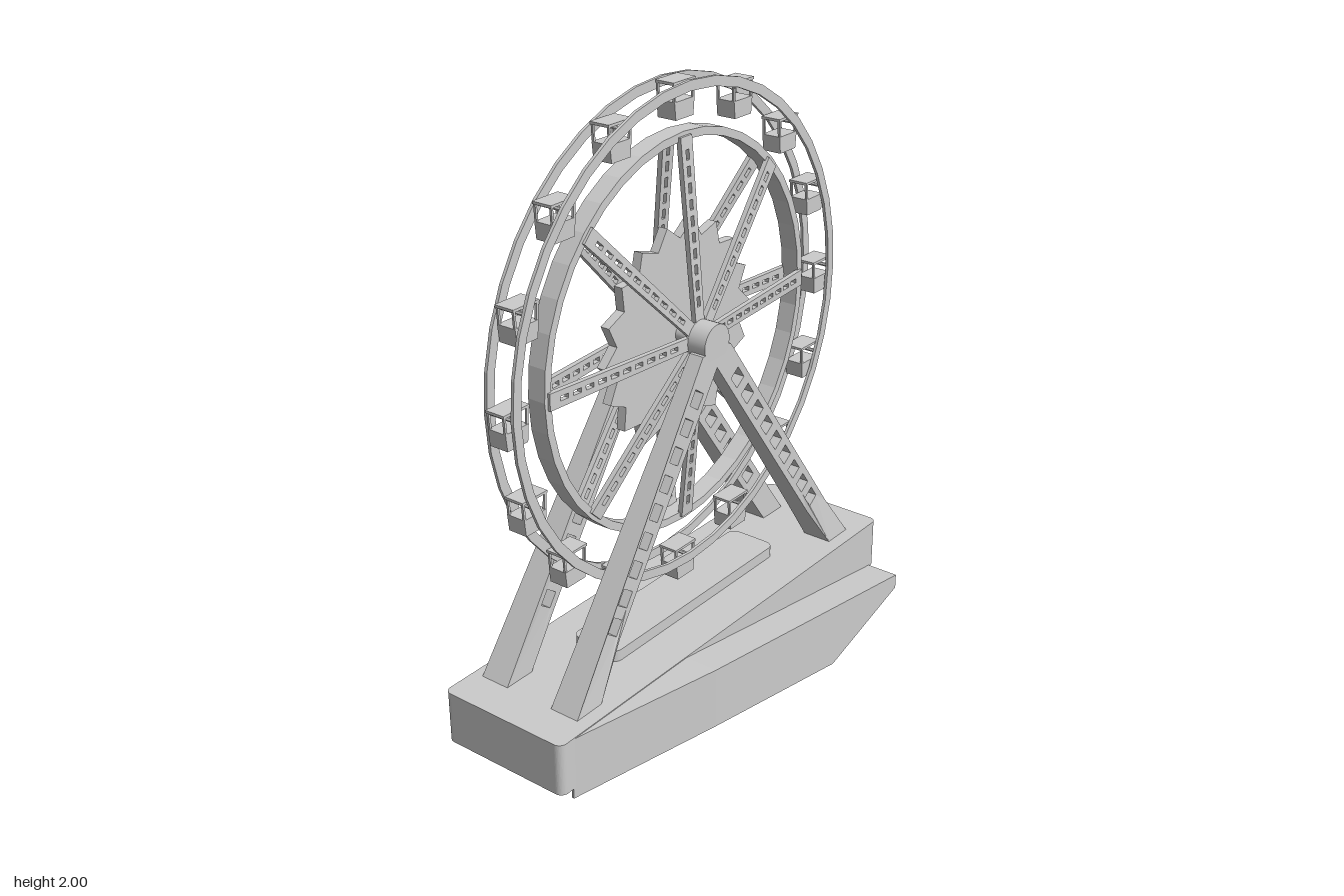
import * as THREE from 'three';

const flat = new THREE.MeshStandardMaterial({ color: 0xcccccc, flatShading: true });
const smooth = new THREE.MeshStandardMaterial({ color: 0xcccccc });
const V = (x, y) => new THREE.Vector2(x, y);

function add(parent, name, geometry, material = flat) {
  const mesh = new THREE.Mesh(geometry, material);
  mesh.name = name;
  parent.add(mesh);
  return mesh;
}

// Moves every vertex by a rule
function bend(geometry, rule) {
  const p = geometry.attributes.position;
  const v = new THREE.Vector3();
  for (let i = 0; i < p.count; i++) {
    rule(v.fromBufferAttribute(p, i));
    p.setXYZ(i, v.x, v.y, v.z);
  }
  geometry.computeVertexNormals();
  return geometry;
}

// Plate outlined by (y, z) points, with thickness centred on x = 0
function plate(points, holes, depth) {
  const shape = new THREE.Shape(points);
  shape.holes = holes.map((h) => new THREE.Path(h));
  const g = new THREE.ExtrudeGeometry(shape, { depth, bevelEnabled: false });
  g.translate(0, 0, -depth / 2);
  return g.applyMatrix4(new THREE.Matrix4().makeBasis(
    new THREE.Vector3(0, 1, 0), new THREE.Vector3(0, 0, 1), new THREE.Vector3(1, 0, 0)));
}

// Horizontal slab with rounded corners
function slab(w, l, h, r) {
  const s = new THREE.Shape();
  const a = w / 2 - r, b = l / 2 - r;
  s.absarc(a, b, r, 0, Math.PI / 2);
  s.absarc(-a, b, r, Math.PI / 2, Math.PI);
  s.absarc(-a, -b, r, Math.PI, Math.PI * 1.5);
  s.absarc(a, -b, r, Math.PI * 1.5, Math.PI * 2);
  return new THREE.ExtrudeGeometry(s, { depth: h, bevelEnabled: false, curveSegments: 5 }).rotateX(-Math.PI / 2);
}

// Flat-sided ring about the x axis
function ring(inner, outer, width, sides) {
  const h = width / 2;
  return new THREE.LatheGeometry(
    [V(inner, -h), V(outer, -h), V(outer, h), V(inner, h), V(inner, -h)], sides).rotateZ(Math.PI / 2);
}

function lerpTable(table, t) {
  for (let i = 1; i < table.length; i++) {
    const [a, va] = table[i - 1], [b, vb] = table[i];
    if (t <= b || i === table.length - 1) return va + (vb - va) * (t - a) / (b - a);
  }
}

// Ladder-like support leg: side = +-1 in x, end = +-1 in z
function leg(side, end) {
  const mid = (y) => 0.645 * (1.24 - y) / 0.915;
  const half = 0.053;
  const outline = [0.32, 0.48, 1.22].map((y) => V(y, end * (mid(y) + half)))
    .concat([1.22, 0.48, 0.32].map((y) => V(y, end * (mid(y) - half))));
  const along = V(0.915, -0.645 * end).normalize();
  const across = V(-along.y, along.x);
  const holes = [];
  for (let i = 0; i < 9; i++) {
    const y = 0.53 + i * 0.071;
    const c = V(y, end * mid(y));
    holes.push([[-1, -1], [1, -1], [1, 1], [-1, 1]].map(([a, b]) =>
      c.clone().addScaledVector(along, a * 0.025).addScaledVector(across, b * 0.022)));
  }
  const width = [[0.32, 0.1], [0.48, 0.075], [1.24, 0.048]];
  const offset = [[0.32, 0.135], [0.48, 0.128], [1.24, 0.125]];
  return bend(plate(outline, holes, 1), (v) => {
    v.x = v.x * lerpTable(width, v.y) + side * lerpTable(offset, v.y);
  });
}

// Slotted spoke leaning inward from hub to rim
function spoke(side) {
  const slots = [];
  for (let i = 0; i < 10; i++) {
    const a = 0.1 + i * 0.048, b = a + 0.03;
    slots.push([V(a, -0.007), V(b, -0.007), V(b, 0.007), V(a, 0.007)]);
  }
  const outline = [V(0.03, -0.02), V(0.6, -0.026), V(0.6, 0.026), V(0.03, 0.02)];
  return bend(plate(outline, slots, 0.016), (v) => {
    v.x += side * (0.085 - 0.055 * v.y / 0.6);
  });
}

// Hanging cabin: tapered tub, corner posts and thin roof
function cabin() {
  const g = new THREE.Group();
  g.name = 'cabin';
  const tub = bend(new THREE.BoxGeometry(0.064, 0.052, 0.09), (v) => { if (v.y < 0) v.z *= 0.88; });
  add(g, 'cabinTub', tub).position.y = -0.028;
  add(g, 'cabinRoof', new THREE.BoxGeometry(0.066, 0.008, 0.1)).position.y = 0.05;
  for (const x of [-1, 1]) for (const z of [-1, 1]) {
    const post = bend(new THREE.BoxGeometry(0.007, 0.05, 0.007), (v) => { if (v.y > 0) v.z += z * 0.003; });
    add(g, 'cabinPost', post).position.set(x * 0.028, 0.022, z * 0.041);
  }
  return g;
}

export function createModel() {
  const model = new THREE.Group();
  model.name = 'ferrisWheel';

  // Base and boarding platform
  add(model, 'base', slab(0.45, 1.64, 0.17, 0.025)).position.set(-0.055, 0.155, 0);
  add(model, 'platform', slab(0.17, 0.82, 0.037, 0.03)).position.set(-0.06, 0.325, 0);

  // Side wedge from stations along z: [z, bottom, top, outer x]
  const stations = [[-0.785, 0.11, 0.16, 0.28], [-0.4, 0, 0.22, 0.28], [0.25, 0.12, 0.322, 0.28], [0.77, 0.12, 0.322, 0.168]];
  add(model, 'sideWedge', bend(new THREE.BoxGeometry(1, 1, 3, 1, 1, 3), (v) => {
    const [z, low, high, out] = stations[Math.round(v.z + 1.5)];
    v.set(v.x > 0 ? out : 0.16, v.y > 0 ? high : low, z);
  }));

  // Supports, hub caps and wheel share one centre line
  const supports = new THREE.Group();
  supports.name = 'supports';
  supports.position.x = -0.06;
  model.add(supports);
  const wheel = new THREE.Group();
  wheel.name = 'wheel';
  wheel.position.set(-0.06, 1.24, 0);
  model.add(wheel);

  const axial = (r, l, n) => new THREE.CylinderGeometry(r, r, l, n).rotateZ(Math.PI / 2);
  add(wheel, 'axle', axial(0.025, 0.28, 20), smooth);
  for (const side of [-1, 1]) {
    for (const end of [-1, 1]) add(supports, 'supportLeg', leg(side, end));
    add(wheel, 'hubCap', axial(0.06, 0.07, 24), smooth).position.x = side * 0.115;
    add(wheel, 'outerRing', ring(0.73, 0.76, 0.01, 40)).position.x = side * 0.048;
    for (let i = 0; i < 8; i++) add(wheel, 'spoke', spoke(side)).rotation.x = i * Math.PI / 4;
  }
  add(wheel, 'innerRing', ring(0.588, 0.613, 0.06, 40));

  // Toothed centre disc
  const teeth = [];
  for (let i = 0; i < 36; i++) {
    const a = i * Math.PI / 18, r = i % 2 ? 0.345 : 0.295;
    teeth.push(V(r * Math.cos(a), r * Math.sin(a)));
  }
  add(wheel, 'starDisc', plate(teeth, [], 0.03));

  // Sixteen upright cabins with their pivots
  for (let i = 0; i < 16; i++) {
    const a = i * Math.PI / 8;
    const c = cabin();
    c.position.set(0, 0.735 * Math.cos(a) - 0.03, 0.725 * Math.sin(a));
    wheel.add(c);
    add(wheel, 'cabinPivot', axial(0.006, 0.1, 6)).position.set(0, 0.742 * Math.cos(a), 0.742 * Math.sin(a));
  }
  return model;
}
